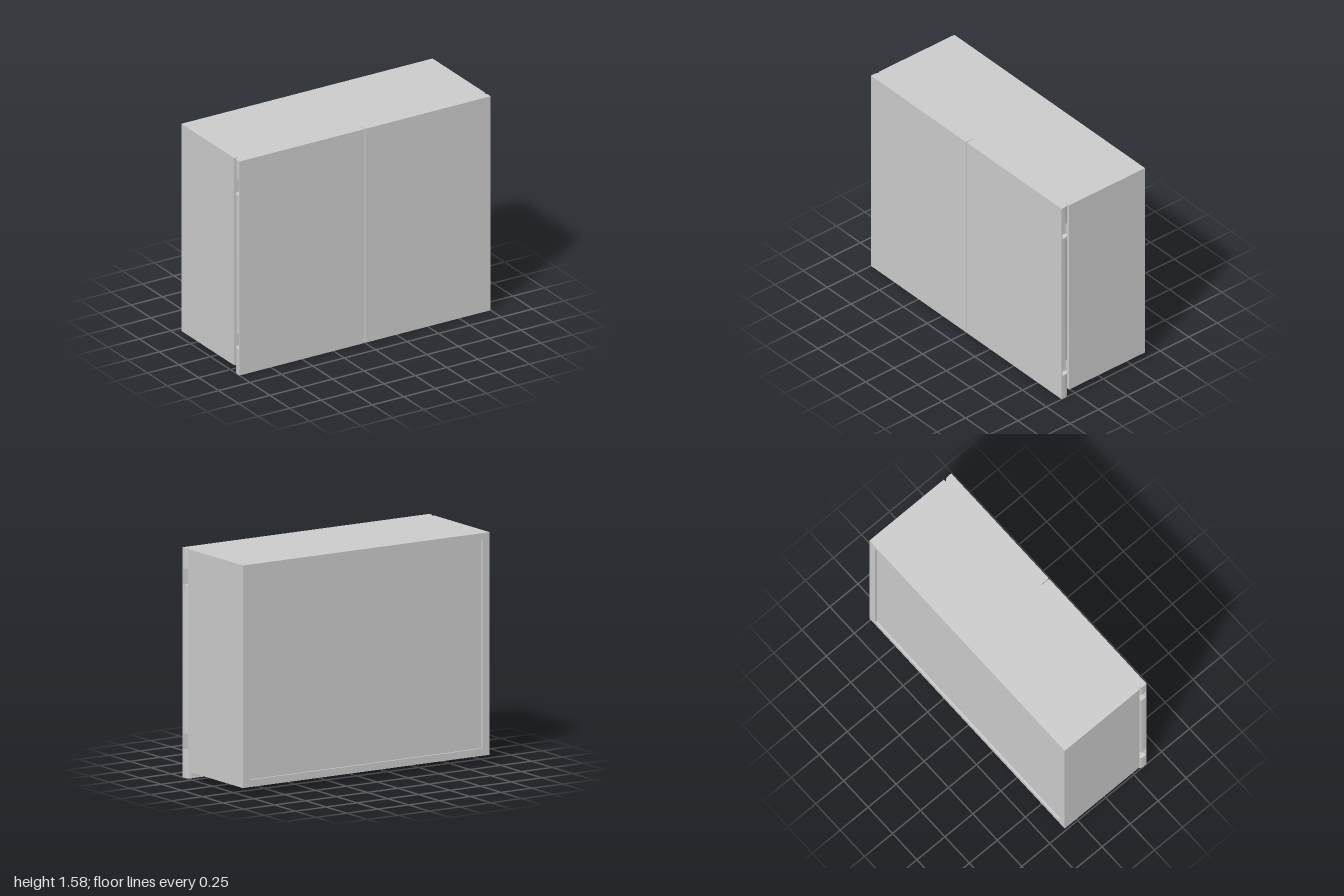
import * as THREE from 'three';
import { toCreasedNormals } from 'three/addons/utils/BufferGeometryUtils.js';

const W = 1, BACK = -0.366, SEAM = 0.3, FRONT = 0.366; // half width and depth planes
const BASE = 0.05, TOP = 1.58;                          // carcass bottom and top
const SIDE = 0.06, BOARD = 0.05;                        // board thicknesses
const WELL = 0.515;                                     // half width of the open-bottomed middle bay
const material = new THREE.MeshStandardMaterial({ color: 0xcccccc });

// Box given by its two opposite corners
function board(parent, name, x0, x1, y0, y1, z0, z1) {
  const mesh = new THREE.Mesh(new THREE.BoxGeometry(x1 - x0, y1 - y0, z1 - z0), material);
  mesh.position.set((x0 + x1) / 2, (y0 + y1) / 2, (z0 + z1) / 2);
  mesh.name = name;
  parent.add(mesh);
}

// Same, mirrored to either side of x = 0
function boardPair(parent, name, x0, x1, ...rest) {
  board(parent, name + 'Left', x0, x1, ...rest);
  board(parent, name + 'Right', -x1, -x0, ...rest);
}

// Horizontal door section; the outer rear edge is rounded, or cut away at a hinge pocket
function doorSection(side, pocket) {
  const r = 0.035, inner = 0.003, shape = new THREE.Shape();
  const at = (x, z) => [side * x, -z];
  shape.moveTo(...at(inner, SEAM));
  shape.lineTo(...at(inner, FRONT));
  shape.lineTo(...at(W, FRONT));
  if (pocket) {
    shape.lineTo(...at(W, 0.358));
    shape.lineTo(...at(W - 0.04, 0.352));
    shape.lineTo(...at(W - 0.04, SEAM));
  } else {
    shape.lineTo(...at(W, SEAM + r));
    for (let i = 1; i <= 8; i++) {
      const a = (i / 8) * Math.PI / 2;
      shape.lineTo(...at(W - r + r * Math.cos(a), SEAM + r - r * Math.sin(a)));
    }
  }
  shape.closePath();
  return shape;
}

function createDoor(side) {
  const door = new THREE.Group();
  door.name = side > 0 ? 'doorLeft' : 'doorRight';
  const levels = [0, 0.19, 0.305, 1.325, 1.437, TOP]; // odd intervals are hinge pockets
  for (let i = 0; i < levels.length - 1; i++) {
    const pocket = i % 2 === 1;
    const geometry = new THREE.ExtrudeGeometry(doorSection(side, pocket), {
      depth: levels[i + 1] - levels[i], bevelEnabled: false,
    });
    geometry.rotateX(-Math.PI / 2);
    const mesh = new THREE.Mesh(toCreasedNormals(geometry, 0.5), material);
    mesh.position.y = levels[i];
    mesh.name = pocket ? 'hingePocket' : 'doorPanel';
    door.add(mesh);
  }
  return door;
}

export function createModel() {
  const model = new THREE.Group();
  model.name = 'wallCabinet';

  // Carcass
  const carcass = new THREE.Group();
  carcass.name = 'carcass';
  model.add(carcass);
  boardPair(carcass, 'sidePanel', W - SIDE, W, BASE, TOP, BACK, SEAM);
  board(carcass, 'topPanel', -W + SIDE, W - SIDE, TOP - BOARD, TOP, BACK, SEAM);
  boardPair(carcass, 'bottomPanel', WELL, W - SIDE, BASE, BASE + BOARD, BACK, SEAM);
  board(carcass, 'bottomRail', -WELL, WELL, BASE, BASE + BOARD, BACK, -0.323);
  // Back panel sits slightly inside the frame
  board(carcass, 'backPanel', -W + SIDE, W - SIDE, BASE + BOARD, TOP - BOARD, BACK + 0.014, -0.323);
  // Walls of the middle bay
  boardPair(carcass, 'partition', WELL, WELL + SIDE, BASE + BOARD, TOP - BOARD, -0.323, SEAM);

  // Doors
  for (const side of [1, -1]) model.add(createDoor(side));
  return model;
}
